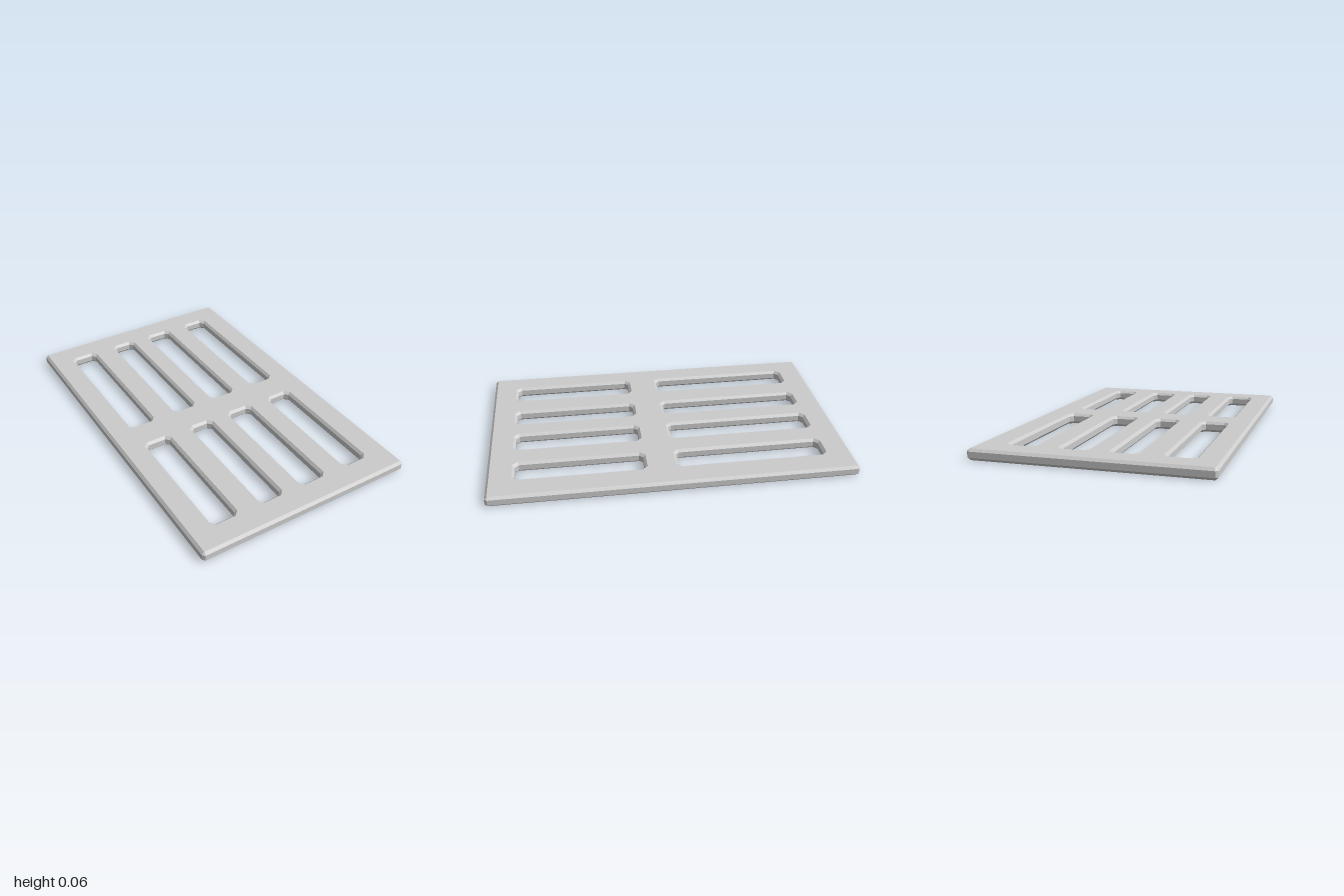
import * as THREE from 'three';

// Rectangle with cut corners, as a closed outline
function cutRect(target, x0, x1, z0, z1, c) {
  target.setFromPoints([
    [x0 + c, z0], [x1 - c, z0], [x1, z0 + c], [x1, z1 - c],
    [x1 - c, z1], [x0 + c, z1], [x0, z1 - c], [x0, z0 + c],
  ].map(([x, z]) => new THREE.Vector2(x, z)));
  target.closePath();
  return target;
}

export function createModel() {
  const group = new THREE.Group();
  group.name = 'slottedGrate';

  const height = 0.06, bevel = 0.014;

  // Outline of the flat faces; the bevel grows outward from it
  const plate = cutRect(new THREE.Shape(), -0.63 + bevel, 0.63 - bevel, -1 + bevel, 1 - bevel, 0.004);

  // Two rows of four slots, the back row longer
  const columns = [[-0.505, -0.335], [-0.215, -0.06], [0.04, 0.21], [0.325, 0.49]];
  const rows = [[-0.862, -0.015], [0.14, 0.867]];
  for (const [x0, x1] of columns) {
    for (const [z0, z1] of rows) {
      plate.holes.push(cutRect(new THREE.Path(), x0, x1, z0, z1, 0.028));
    }
  }

  const geometry = new THREE.ExtrudeGeometry(plate, {
    depth: height - 2 * bevel,
    bevelEnabled: true,
    bevelThickness: bevel,
    bevelSize: bevel,
    bevelSegments: 1,
  });
  // Lay the plate flat and rest it on the ground
  geometry.rotateX(Math.PI / 2);
  geometry.translate(0, height - bevel, 0);

  const mesh = new THREE.Mesh(geometry, new THREE.MeshStandardMaterial({ color: 0xcccccc, flatShading: true }));
  mesh.name = 'gratePlate';
  group.add(mesh);
  return group;
}
